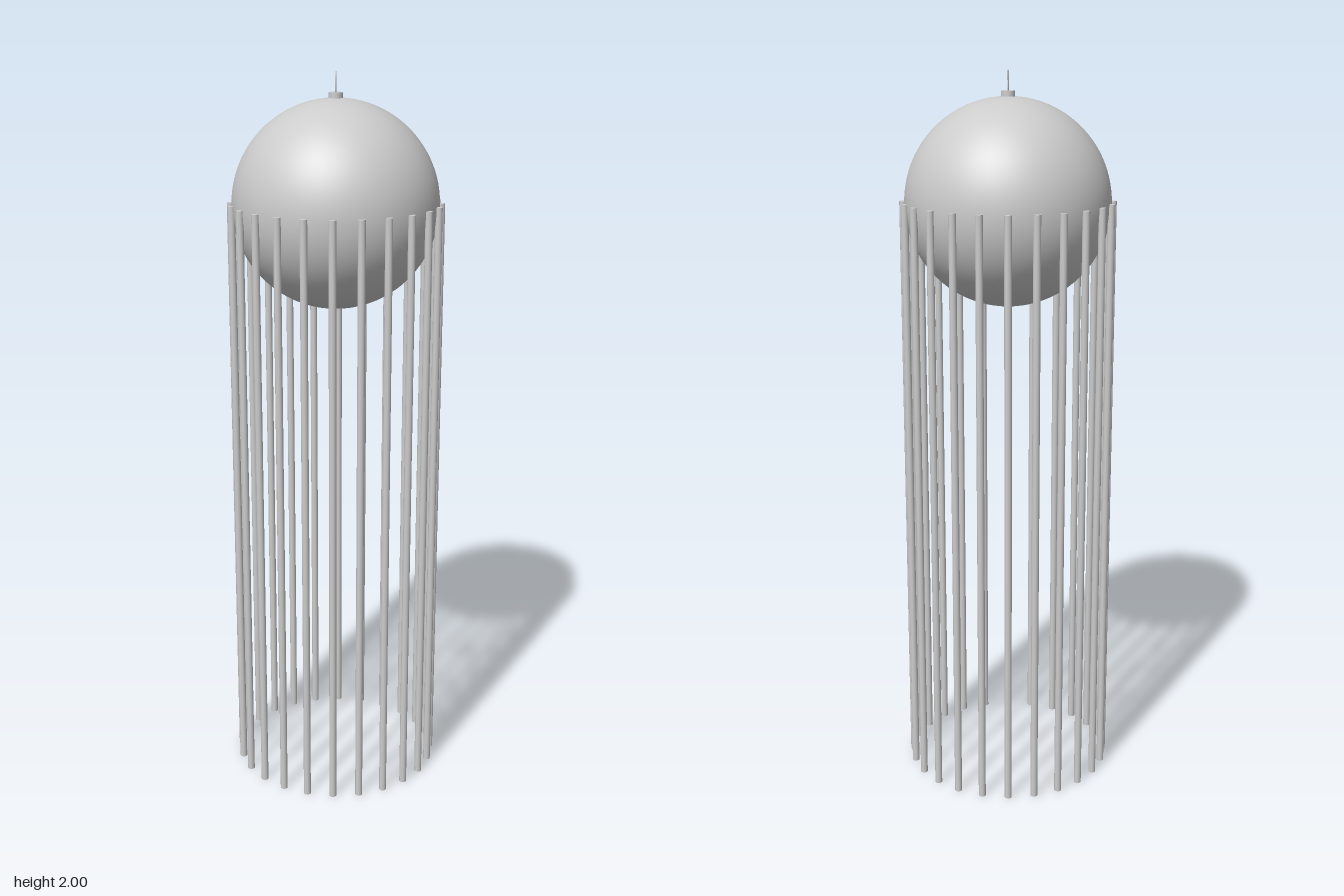
import * as THREE from 'three';

export function createModel() {
  const group = new THREE.Group();
  const material = new THREE.MeshStandardMaterial({ color: 0xcccccc });

  const add = (name, geometry, x, y, z) => {
    const mesh = new THREE.Mesh(geometry, material);
    mesh.name = name;
    mesh.position.set(x, y, z);
    group.add(mesh);
    return mesh;
  };

  // Large smooth ball held by the ring of rods
  add('ball', new THREE.SphereGeometry(0.281, 64, 48), 0, 1.651, 0);

  // Ring of upright rods, from the ground to the middle of the ball
  const rodCount = 24, rodHeight = 1.655, ringRadius = 0.285;
  const rodGeometry = new THREE.CylinderGeometry(0.01, 0.01, rodHeight, 16);
  for (let i = 0; i < rodCount; i++) {
    const a = (i / rodCount) * Math.PI * 2;
    add('rod' + (i + 1), rodGeometry, Math.sin(a) * ringRadius, rodHeight / 2, Math.cos(a) * ringRadius);
  }

  // Small cap on top of the ball
  add('cap', new THREE.CylinderGeometry(0.019, 0.019, 0.02, 32), 0, 1.936, 0);

  // Thin upright hanging loop, seen open from the sides
  const loopPoints = [];
  for (let i = 0; i < 16; i++) {
    const a = (i / 16) * Math.PI * 2;
    loopPoints.push(new THREE.Vector3(0, Math.sin(a) * 0.027, Math.cos(a) * 0.007));
  }
  const loopCurve = new THREE.CatmullRomCurve3(loopPoints, true);
  add('hangingLoop', new THREE.TubeGeometry(loopCurve, 48, 0.002, 8, true), 0, 1.971, 0);

  return group;
}
